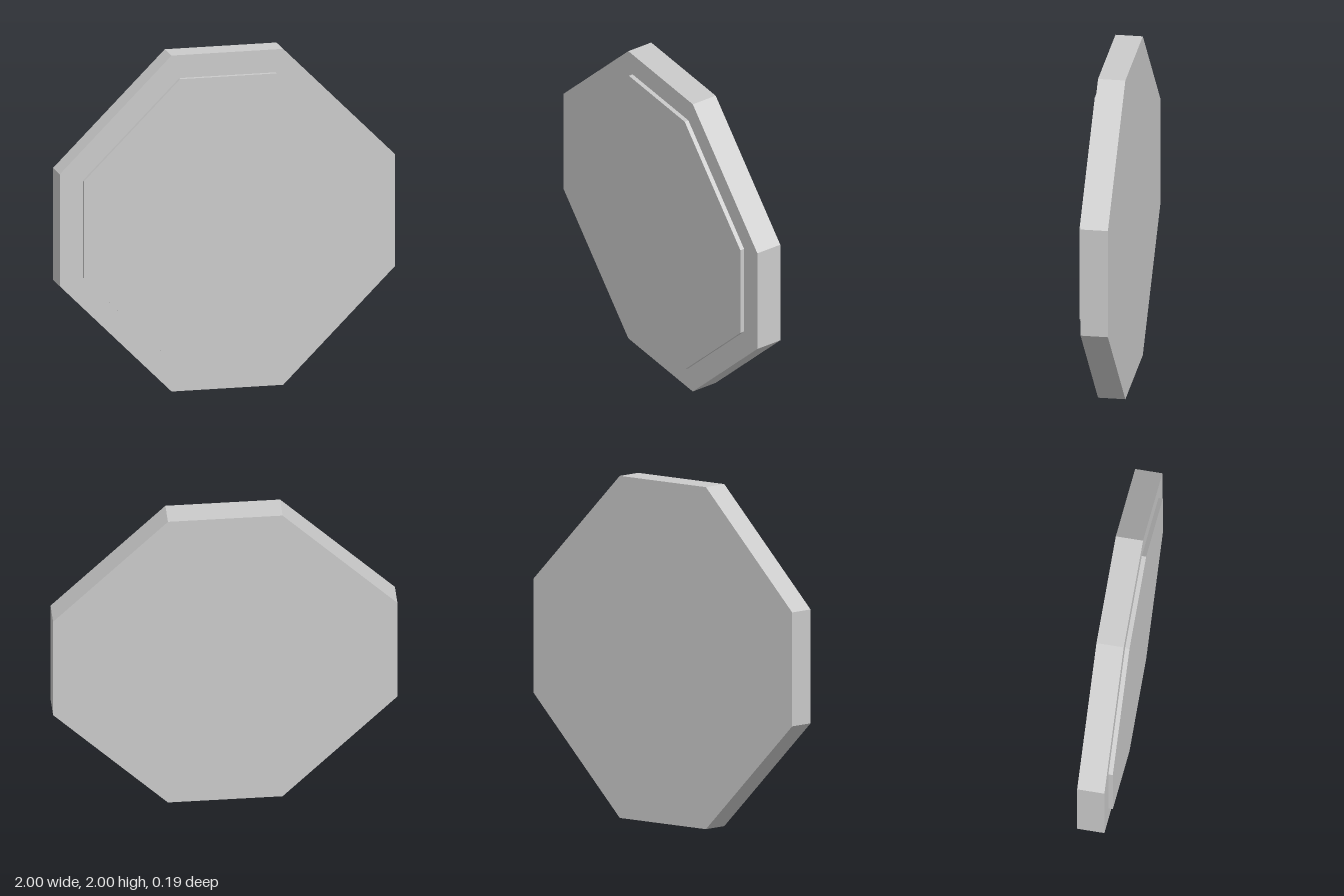
import * as THREE from 'three';

const material = new THREE.MeshStandardMaterial({ color: 0xcccccc, flatShading: true });

// Upright octagonal slab: half is its half width, flat the half length of the top edge
function octagonSlab(name, half, flat, zBack, zFront) {
  const shape = new THREE.Shape([
    [flat, -half], [half, -flat], [half, flat], [flat, half],
    [-flat, half], [-half, flat], [-half, -flat], [-flat, -half],
  ].map(([x, y]) => new THREE.Vector2(x, y)));
  const geometry = new THREE.ExtrudeGeometry(shape, { depth: zFront - zBack, bevelEnabled: false });
  const mesh = new THREE.Mesh(geometry, material);
  mesh.name = name;
  mesh.position.set(0, 1, zBack);
  return mesh;
}

export function createModel() {
  const model = new THREE.Group();
  model.name = 'octagonalSign';
  // Thick backing board
  model.add(octagonSlab('backingBoard', 1, 0.333, -0.093, 0.067));
  // Thin raised face panel
  model.add(octagonSlab('facePanel', 0.863, 0.288, 0.067, 0.093));
  return model;
}
